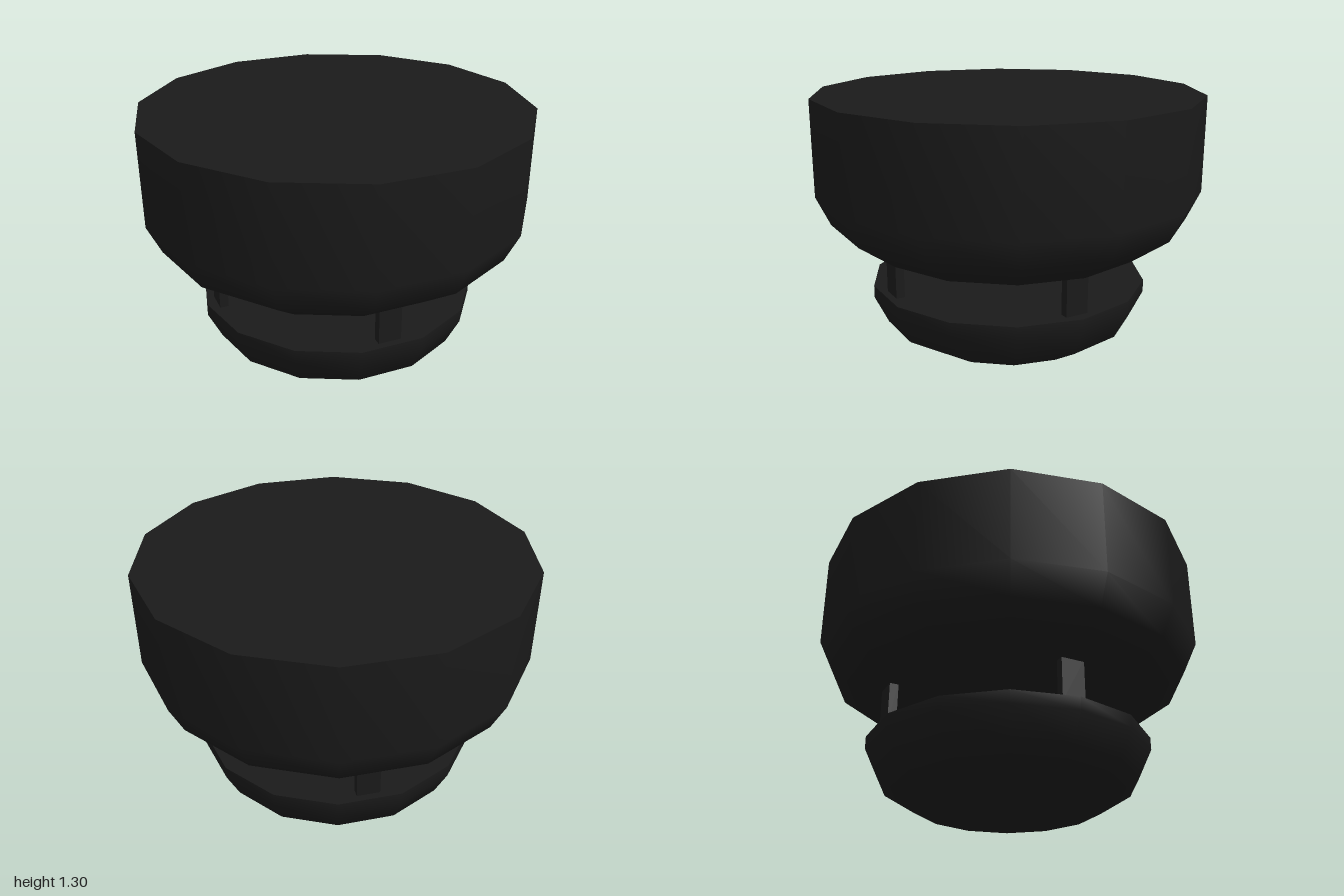
import * as THREE from 'three';

const SIDES = 14;
const material = new THREE.MeshStandardMaterial({ color: 0x1a1a1a });

// Solid of revolution with a corner on the x axis; repeated points make a hard edge
function turned(name, profile) {
  const points = profile.map(([r, y]) => new THREE.Vector2(r, y));
  const mesh = new THREE.Mesh(new THREE.LatheGeometry(points, SIDES, Math.PI / 2), material);
  mesh.name = name;
  return mesh;
}

export function createModel() {
  const model = new THREE.Group();
  model.name = 'cap';

  // Small lower cup with a flat lid
  model.add(turned('lowerCup', [
    [0, 0], [0.49, 0], [0.66, 0.105], [0.73, 0.25], [0.73, 0.315], [0.73, 0.315], [0, 0.315],
  ]));

  // Large upper body, chamfered underneath and flat on top
  model.add(turned('upperBody', [
    [0, 0.525], [0.735, 0.525], [0.93, 0.665], [1, 0.815], [1, 1.305], [1, 1.305], [0, 1.305],
  ]));

  // Four flat posts joining the cup to the body
  const posts = new THREE.Group();
  posts.name = 'posts';
  const postGeometry = new THREE.BoxGeometry(0.12, 0.23, 0.045);
  for (let i = 0; i < 4; i++) {
    const angle = (i * Math.PI) / 2;
    const post = new THREE.Mesh(postGeometry, material);
    post.name = 'post' + (i + 1);
    post.position.set(Math.sin(angle) * 0.653, 0.42, Math.cos(angle) * 0.653);
    post.rotation.y = angle;
    posts.add(post);
  }
  model.add(posts);

  return model;
}
